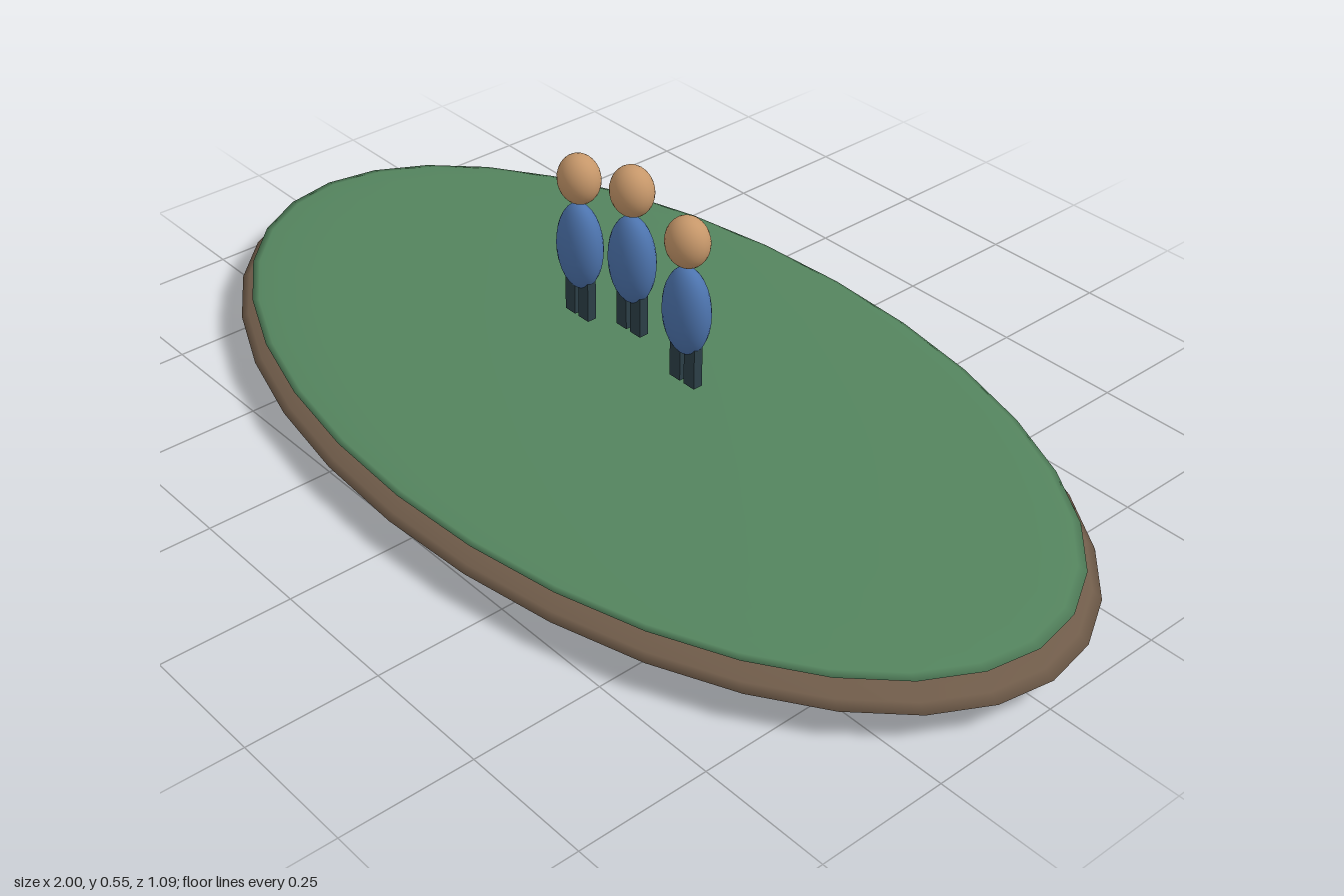
import * as THREE from 'three';

const mat = (name, color) => {
  const m = new THREE.MeshStandardMaterial({ color });
  m.name = name;
  return m;
};

export function createModel() {
  const soil = mat('soil brown', 0x705c4a);
  const grass = mat('grass green', 0x54845e);
  const skin = mat('skin tan', 0xc6976a);
  const shirt = mat('shirt blue', 0x4d74ae);
  const trousers = mat('trousers dark slate', 0x2c4048);

  const model = new THREE.Group();
  model.name = 'islandWithFigures';

  const add = (parent, name, geometry, material, x, y, z = 0) => {
    const mesh = new THREE.Mesh(geometry, material);
    mesh.name = name;
    mesh.position.set(x, y, z);
    parent.add(mesh);
  };
  const ellipsoid = (rx, ry, rz, w, h) => new THREE.SphereGeometry(1, w, h).scale(rx, ry, rz);

  // Flattened oval base with a thinner grass layer on top
  add(model, 'soilBase', ellipsoid(1, 0.059, 0.545, 32, 16), soil, 0, 0.059);
  add(model, 'grassTop', ellipsoid(0.968, 0.019, 0.525, 32, 16), grass, 0, 0.103);

  // Three figures hovering in a row, the middle one a little higher
  const headGeo = ellipsoid(0.043, 0.048, 0.038, 24, 16);
  const bodyGeo = ellipsoid(0.051, 0.087, 0.037, 24, 16);
  const legGeo = new THREE.BoxGeometry(0.027, 0.08, 0.019);

  for (const [name, x, y] of [['rightFigure', -0.144, 0.18], ['middleFigure', 0, 0.217], ['leftFigure', 0.144, 0.18]]) {
    const figure = new THREE.Group();
    figure.name = name;
    figure.position.set(x, y, 0);
    add(figure, 'head', headGeo, skin, 0, 0.283);
    add(figure, 'body', bodyGeo, shirt, 0, 0.145);
    for (const s of [-1, 1]) add(figure, s < 0 ? 'rightLeg' : 'leftLeg', legGeo, trousers, s * 0.0185, 0.04);
    model.add(figure);
  }
  return model;
}
